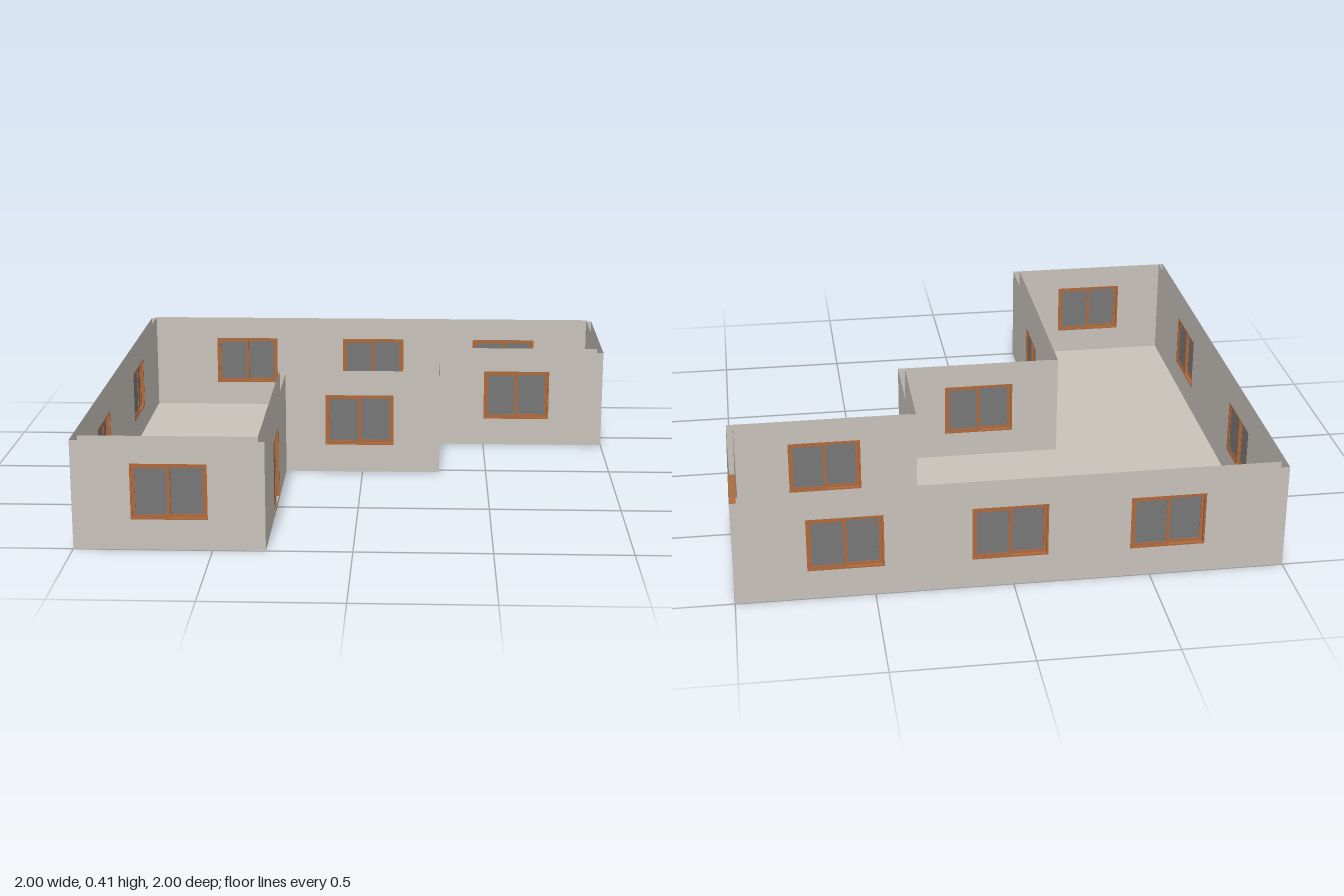
import * as THREE from 'three';

const wallMat = new THREE.MeshStandardMaterial({ color: 0xc8c2ba, side: THREE.DoubleSide });
wallMat.name = 'plaster';
const woodMat = new THREE.MeshStandardMaterial({ color: 0xb06a3c });
woodMat.name = 'wood';
const glassMat = new THREE.MeshStandardMaterial({ color: 0x777777 });
glassMat.name = 'glass';

const T = 0.025;      // wall thickness
const OUTER_H = 0.405;
const INNER_H = 0.415;
const WINDOW = { name: 'window', w: 0.275, y0: 0.113, y1: 0.32 };
const DOOR = { name: 'door', w: 0.24, y0: 0, y1: 0.29 };

// Each wall starts at a corner (x, z); turn is 1 at outside corners, -1 at inside ones.
// Openings are placed by the distance of their centre along the wall.
const walls = [
  { p: [-1, 1], turn: 1, kind: WINDOW, at: [0.3475] },
  { p: [-0.31, 1], turn: 1, kind: DOOR, at: [0.4925] },
  { p: [-0.31, 0.03], turn: -1, kind: WINDOW, at: [0.2975] },
  { p: [0.31, 0.03], turn: 1, kind: WINDOW, at: [] },
  { p: [0.31, -0.385], turn: -1, kind: WINDOW, at: [0.3275] },
  { p: [1, -0.385], turn: 1, kind: DOOR, at: [0.3] },
  { p: [1, -1], turn: 1, kind: WINDOW, at: [0.3975, 0.9875, 1.5625] },
  { p: [-1, -1], turn: 1, kind: WINDOW, at: [0.5825, 1.4375] },
];

function box(parent, name, mat, w, h, d, x, y, z) {
  const m = new THREE.Mesh(new THREE.BoxGeometry(w, h, d), mat);
  m.name = name;
  m.position.set(x, y, z);
  parent.add(m);
}

// Rectangular ring of four bars, centred on x
function ring(parent, name, w, y0, y1, bar, depth, x, z) {
  const h = y1 - y0;
  for (const s of [-1, 1]) {
    box(parent, name + 'Side', woodMat, bar, h, depth, x + s * (w - bar) / 2, (y0 + y1) / 2, z);
    box(parent, name + 'Rail', woodMat, w - 2 * bar, bar, depth, x, (y0 + y1) / 2 + s * (h - bar) / 2, z);
  }
}

// Frame with two sliding sashes, front at z = 0 and back at z = -T
function makeOpening({ name, w, y0, y1 }) {
  const g = new THREE.Group();
  g.name = name;
  const lining = 0.006, bar = 0.011, d = 0.009;
  ring(g, 'frame', w, y0, y1, lining, T, 0, -T / 2);
  const sashW = w / 2 - lining + bar / 2;
  for (const s of [-1, 1]) {
    const x = s * (sashW - bar) / 2;
    const z = -T / 2 - s * 0.005;
    ring(g, 'sash', sashW, y0 + lining, y1 - lining, bar, d, x, z);
    box(g, 'pane', glassMat, sashW - 2 * bar, y1 - y0 - 2 * (lining + bar), 0.003, x, (y0 + y1) / 2, z);
  }
  return g;
}

// Flat wall face with window holes or door notches
function wallFace(x0, x1, h, kind, at) {
  const shape = new THREE.Shape();
  shape.moveTo(x0, 0);
  for (const c of at) {
    const a = c - kind.w / 2, b = c + kind.w / 2;
    if (kind === DOOR) {
      shape.lineTo(a, 0).lineTo(a, kind.y1).lineTo(b, kind.y1).lineTo(b, 0);
    } else {
      const hole = new THREE.Path();
      hole.moveTo(a, kind.y0).lineTo(a, kind.y1).lineTo(b, kind.y1).lineTo(b, kind.y0);
      hole.closePath();
      shape.holes.push(hole);
    }
  }
  shape.lineTo(x1, 0).lineTo(x1, h).lineTo(x0, h);
  shape.closePath();
  return new THREE.ShapeGeometry(shape);
}

export function createModel() {
  const model = new THREE.Group();
  model.name = 'house';

  walls.forEach(({ p, turn, kind, at }, i) => {
    const next = walls[(i + 1) % walls.length];
    const dx = next.p[0] - p[0], dz = next.p[1] - p[1];
    const len = Math.hypot(dx, dz);
    const g = new THREE.Group();
    g.name = 'wall';
    g.position.set(p[0], 0, p[1]);
    g.rotation.y = Math.atan2(-dz, dx);

    const outer = new THREE.Mesh(wallFace(0, len, OUTER_H, kind, at), wallMat);
    outer.name = 'outerFace';
    // The inner face looks into the house
    const innerGeo = wallFace(turn * T - len, -next.turn * T, INNER_H, kind, at.map((c) => c - len));
    innerGeo.translate(len, 0, 0);
    const index = innerGeo.index.array;
    for (let k = 0; k < index.length; k += 3) [index[k], index[k + 1]] = [index[k + 1], index[k]];
    const normals = innerGeo.attributes.normal;
    for (let k = 0; k < normals.count; k++) normals.setZ(k, -1);
    const inner = new THREE.Mesh(innerGeo, wallMat);
    inner.name = 'innerFace';
    inner.position.z = -T;
    g.add(outer, inner);

    for (const c of at) {
      const opening = makeOpening(kind);
      opening.position.x = c;
      g.add(opening);
    }
    model.add(g);
  });

  // Floor slab, set just inside the outer faces
  const inset = 0.002;
  const plan = walls.map(({ p, turn }, i) => {
    const prev = walls[(i + 7) % 8].p, next = walls[(i + 1) % 8].p;
    const sx = Math.sign(prev[0] - p[0] + next[0] - p[0]) * turn;
    const sz = Math.sign(prev[1] - p[1] + next[1] - p[1]) * turn;
    return new THREE.Vector2(p[0] + sx * inset, -(p[1] + sz * inset));
  });
  const floor = new THREE.Mesh(
    new THREE.ExtrudeGeometry(new THREE.Shape(plan), { depth: 0.01, bevelEnabled: false }), wallMat);
  floor.name = 'floor';
  floor.rotation.x = -Math.PI / 2;
  model.add(floor);

  return model;
}
